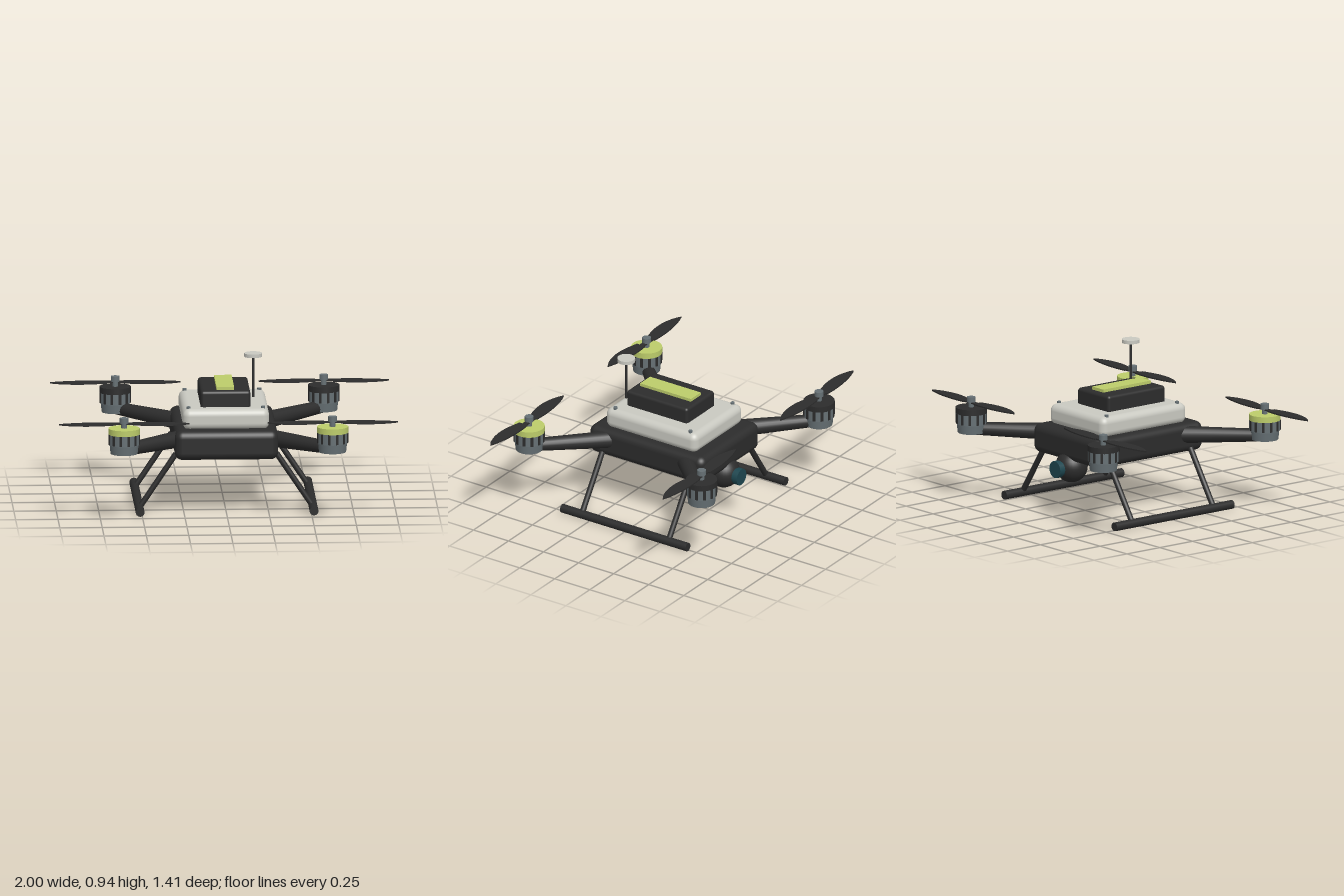
import * as THREE from 'three';
import { toCreasedNormals } from 'three/addons/utils/BufferGeometryUtils.js';
import { RoundedBoxGeometry } from 'three/addons/geometries/RoundedBoxGeometry.js';

const mat = (name, color) => Object.assign(new THREE.MeshStandardMaterial({ color }), { name });
const charcoal = mat('charcoal', 0x2c2c2c);
const shellGrey = mat('shell grey', 0xc9c9c1);
const lime = mat('lime', 0xbccc6a);
const steel = mat('motor steel', 0x667074);
const teal = mat('lens teal', 0x1d464f);

function add(parent, name, geometry, material, x = 0, y = 0, z = 0) {
  const mesh = new THREE.Mesh(geometry, material);
  mesh.name = name;
  mesh.position.set(x, y, z);
  parent.add(mesh);
  return mesh;
}

// Upright cylinder given by its bottom and top heights
function disc(parent, name, r, y0, y1, material, x = 0, z = 0, rBottom = r) {
  return add(parent, name, new THREE.CylinderGeometry(r, rBottom, y1 - y0, 32), material, x, (y0 + y1) / 2, z);
}

// Rod between two points, r0 at the start and r1 at the end
function rod(parent, name, a, b, r0, r1, material) {
  const from = new THREE.Vector3(...a), to = new THREE.Vector3(...b);
  const dir = to.clone().sub(from);
  const mesh = add(parent, name, new THREE.CylinderGeometry(r1, r0, dir.length(), 20), material);
  mesh.position.copy(from).add(to).multiplyScalar(0.5);
  mesh.quaternion.setFromUnitVectors(new THREE.Vector3(0, 1, 0), dir.normalize());
  return mesh;
}

// Flat swept blade reaching out along +x or -x
function bladeGeometry(side) {
  const s = new THREE.Shape();
  s.moveTo(side * 0.05, 0.035);
  s.lineTo(side * 0.05, -0.022);
  s.bezierCurveTo(side * 0.15, -0.035, side * 0.3, -0.02, side * 0.385, 0.015);
  s.bezierCurveTo(side * 0.33, 0.052, side * 0.22, 0.082, side * 0.09, 0.044);
  s.closePath();
  const g = new THREE.ExtrudeGeometry(s, { depth: 0.008, bevelEnabled: false, curveSegments: 14 });
  g.rotateX(Math.PI / 2);
  return toCreasedNormals(g, 0.6);
}

function createRotor(capMaterial) {
  const rotor = new THREE.Group();
  rotor.name = 'rotor';
  disc(rotor, 'motorBase', 0.086, 0.418, 0.475, steel, 0, 0, 0.08);
  disc(rotor, 'motorCan', 0.091, 0.472, 0.537, steel);
  disc(rotor, 'motorCap', 0.0925, 0.535, 0.57, capMaterial);

  // Cooling slots around the can
  const slots = 12;
  for (let i = 0; i < slots; i++) {
    const a = ((i + 0.5) / slots) * Math.PI * 2;
    const slot = add(rotor, 'coolingSlot', new THREE.BoxGeometry(0.016, 0.06, 0.012), charcoal,
      Math.sin(a) * 0.0875, 0.505, Math.cos(a) * 0.0875);
    slot.rotation.y = a;
  }

  disc(rotor, 'shaft', 0.017, 0.565, 0.605, steel);
  disc(rotor, 'propellerNut', 0.026, 0.6, 0.631, steel);
  for (const side of [-1, 1]) {
    add(rotor, 'propellerBlade', bladeGeometry(side), charcoal, 0, 0.601, 0);
    // Root joining the blade to the shaft
    add(rotor, 'bladeRoot', new THREE.BoxGeometry(0.04, 0.008, 0.03), charcoal, side * 0.035, 0.597, 0);
  }
  return rotor;
}

export function createModel() {
  const model = new THREE.Group();
  model.name = 'quadcopter';

  // Stacked fuselage
  add(model, 'body', new RoundedBoxGeometry(0.61, 0.175, 0.82, 4, 0.045), charcoal, 0, 0.413, 0);
  add(model, 'upperShell', new RoundedBoxGeometry(0.51, 0.125, 0.65, 4, 0.042), shellGrey, 0, 0.5525, 0);
  add(model, 'battery', new RoundedBoxGeometry(0.294, 0.11, 0.435, 3, 0.018), charcoal, 0, 0.655, 0.025);
  add(model, 'batteryStripe', new THREE.BoxGeometry(0.104, 0.02, 0.362), lime, 0, 0.718, 0.026);

  // Shell screws
  for (const x of [-0.22, 0.22])
    for (const z of [-0.268, 0.268]) disc(model, 'shellScrew', 0.012, 0.605, 0.625, steel, x, z);

  // Antenna
  disc(model, 'antennaMast', 0.008, 0.673, 0.92, charcoal, 0.163, 0.23);
  disc(model, 'antennaDisc', 0.053, 0.916, 0.937, shellGrey, 0.163, 0.23);

  // Arms and rotors, front pair with lime caps
  for (const x of [-1, 1]) {
    for (const z of [-1, 1]) {
      rod(model, 'arm', [x * 0.25, 0.432, z * 0.25], [x * 0.615, 0.44, z * 0.615], 0.052, 0.037, charcoal);
      const rotor = createRotor(z > 0 ? lime : charcoal);
      rotor.position.set(x * 0.615, 0, z * 0.615);
      model.add(rotor);
    }
  }

  // Landing gear
  for (const x of [-1, 1]) {
    rod(model, 'skid', [x * 0.513, 0.027, -0.448], [x * 0.513, 0.027, 0.448], 0.026, 0.026, charcoal);
    for (const z of [-0.309, 0.309])
      rod(model, 'landingLeg', [x * 0.297, 0.35, z], [x * 0.513, 0.027, z], 0.017, 0.017, charcoal);
  }

  // Camera ball with lens at the rear
  add(model, 'cameraBall', new THREE.SphereGeometry(0.096, 32, 20), charcoal, 0, 0.286, -0.354);
  rod(model, 'lensBarrel', [0, 0.283, -0.42], [0, 0.283, -0.46], 0.045, 0.045, teal);
  rod(model, 'lensRing', [0, 0.283, -0.45], [0, 0.283, -0.481], 0.051, 0.051, teal);

  return model;
}
